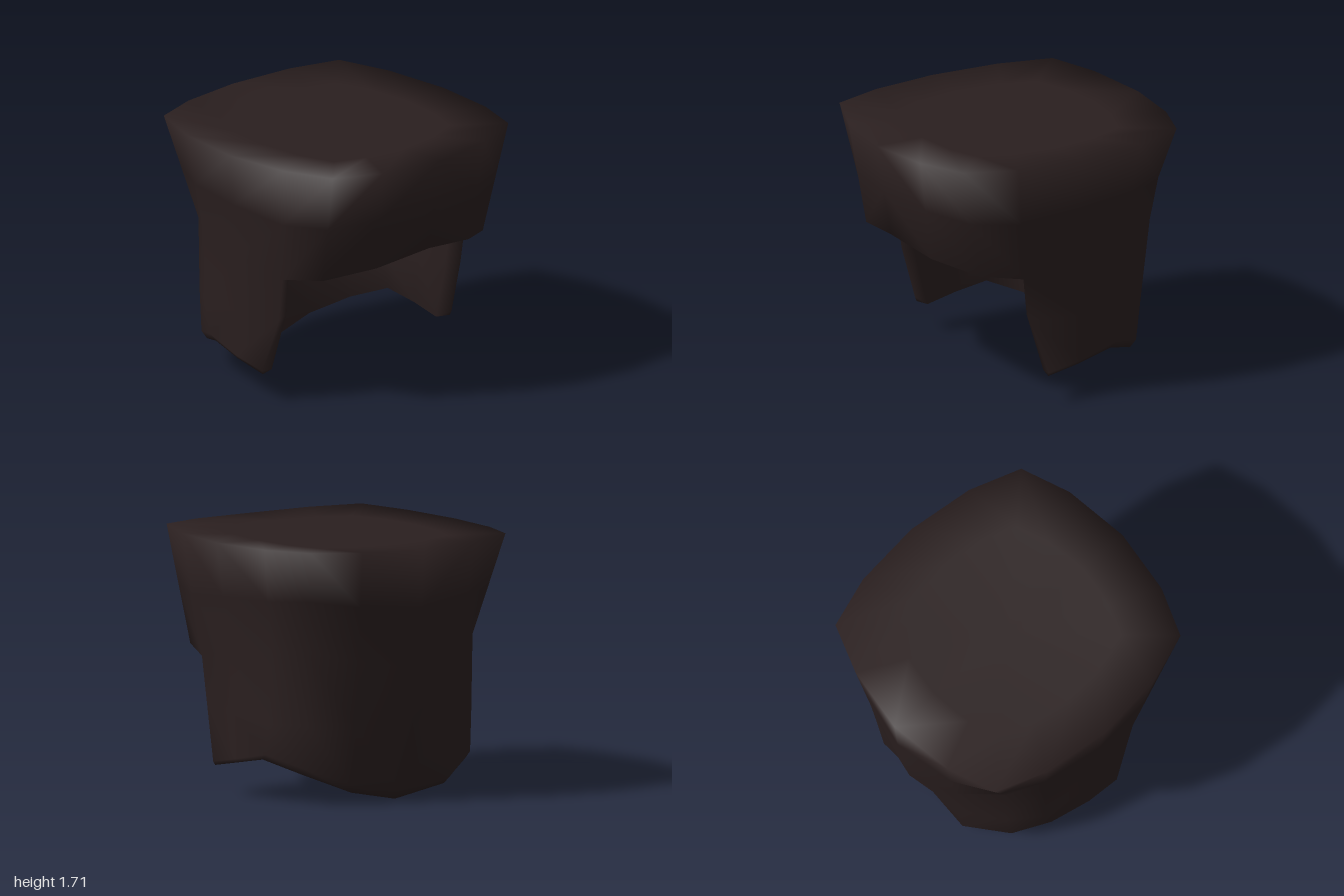
import * as THREE from 'three';
import { mergeVertices } from 'three/addons/utils/BufferGeometryUtils.js';

// Half of the hair, as columns running from front centre to back centre
const RIM = [[0, 1.69, 1], [.45, 1.70, .94], [.78, 1.71, .81], [.9, 1.70, .46], [.95, 1.695, 0],
  [.9, 1.70, -.47], [.78, 1.71, -.82], [.45, 1.70, -.94], [0, 1.69, -1]];
// Lower edge of the fringe, then about the same height around the sides and back
const BAND = [[0, 1.055, .89], [.41, 1.0, .83], [.71, .935, .64], [.815, .895, .36], [.865, .98, -.02],
  [.80, 1.0, -.41], [.665, 1.03, -.61], [.41, .96, -.84], [0, .9, -.94]];
// Sides and back only, from the sideburn (column 3) to the nape (column 8)
const LOWER = [[.805, .6, .32], [.86, .58, -.04], [.81, .53, -.39], [.655, .53, -.61], [.4, .53, -.79], [0, .53, -.87]];
const HEM = [[.842, .22, .195], [.845, .265, -.05], [.805, .325, -.345], [.67, .25, -.575], [.385, .13, -.75], [0, .08, -.72]];
const LIP = [[.83, .195, .19], [.83, .24, -.05], [.795, .287, -.3], [.645, .2, -.55], [.37, .08, -.7], [0, .005, -.67]];

const scaled = (p, s, dy = 0) => [p[0] * s, p[1] + dy, p[2] * s];
const middle = (a, b) => a.map((v, k) => (v + b[k]) / 2);
const THICK = 0.88;

// Chain of points: crown centre, down the outside, around the hem, up the inside
function column(i, full) {
  const rim = RIM[i], band = BAND[i], mid = middle(rim, band);
  const top = [[0, 1.68, 0], [rim[0] * .65, 1.685, rim[2] * .65], rim, mid, band];
  const inside = [scaled(band, THICK), scaled(mid, THICK), [rim[0] * .8, 1.57, rim[2] * .8], [0, 1.58, 0]];
  if (!full) return [...top, ...inside];
  const low = LOWER[i - 3], lip = LIP[i - 3];
  const innerLip = scaled(lip, THICK, i > 6 ? .035 : .005);
  return [...top, low, HEM[i - 3], lip, innerLip, scaled(low, THICK), ...inside];
}

function hairGeometry() {
  const pos = [];
  const triangle = (a, b, c) => {
    const same = (p, q) => p.every((v, k) => Math.abs(v - q[k]) < 1e-5);
    if (same(a, b) || same(b, c) || same(a, c)) return;
    pos.push(...a, ...b, ...c);
    // mirrored half, with the winding reversed
    for (const p of [a, c, b]) pos.push(-p[0], p[1], p[2]);
  };
  const quad = (a, b, c, d) => { triangle(a, b, c); triangle(a, c, d); };
  const strip = (p, q) => {
    for (let k = 0; k < p.length - 1; k++) quad(p[k], p[k + 1], q[k + 1], q[k]);
  };
  // fringe, then sides and back
  for (let i = 0; i < 8; i++) strip(column(i, i >= 3), column(i + 1, i >= 3));
  // front face of the sideburn
  const s = column(3, true);
  strip([s[10], s[9], s[8], s[8]], [s[4], s[5], s[6], s[7]]);

  const g = new THREE.BufferGeometry();
  g.setAttribute('position', new THREE.Float32BufferAttribute(pos, 3));
  const merged = mergeVertices(g, 1e-4);
  merged.computeVertexNormals();
  return merged;
}

export function createModel() {
  const group = new THREE.Group();
  group.name = 'flatTopHair';
  const material = new THREE.MeshStandardMaterial({ color: 0x2a1f1f });
  material.name = 'darkBrownHair';
  const hair = new THREE.Mesh(hairGeometry(), material);
  hair.name = 'hairShell';
  group.add(hair);
  return group;
}
